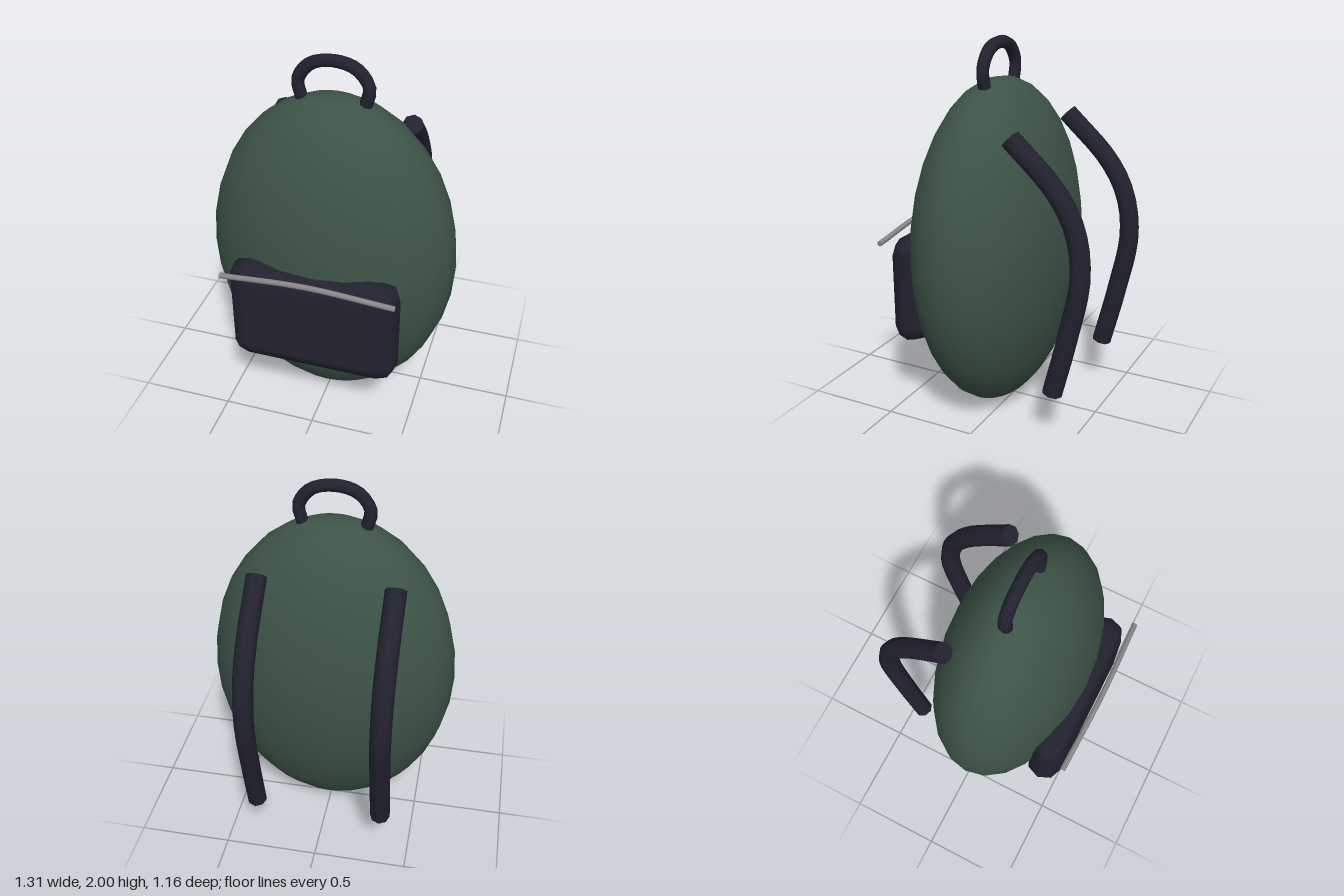
import * as THREE from 'three';
import { RoundedBoxGeometry } from 'three/addons/geometries/RoundedBoxGeometry.js';

const material = (name, color) => Object.assign(new THREE.MeshStandardMaterial({ color }), { name });

export function createModel() {
  const group = new THREE.Group();
  const canvas = material('green canvas', 0x3d5448);
  const webbing = material('dark webbing', 0x222230);
  const metal = material('zip metal', 0x888888);

  const add = (name, geometry, mat, parent = group) => {
    const mesh = new THREE.Mesh(geometry, mat);
    mesh.name = name;
    parent.add(mesh);
    return mesh;
  };

  // Round tube through points, closed with a flat disc at each end
  const addTube = (name, points, radius, segments, mat) => {
    const part = new THREE.Group();
    part.name = name;
    const curve = new THREE.CatmullRomCurve3(points.map((p) => new THREE.Vector3(...p)));
    add(name + 'Tube', new THREE.TubeGeometry(curve, segments, radius, 8), mat, part);
    const frame = curve.computeFrenetFrames(segments);
    for (const [end, side] of [[0, -1], [1, 1]]) {
      const cap = add(name + 'Cap', new THREE.CircleGeometry(radius, 8), mat, part);
      const i = end * segments;
      const z = frame.tangents[i].clone().multiplyScalar(side);
      const x = frame.normals[i];
      cap.quaternion.setFromRotationMatrix(new THREE.Matrix4().makeBasis(x, z.clone().cross(x), z));
      cap.position.copy(curve.getPointAt(end));
    }
    group.add(part);
  };

  // Egg-shaped main bag
  const body = add('body', new THREE.SphereGeometry(1, 24, 16), canvas);
  body.scale.set(0.657, 0.895, 0.392);
  body.position.set(0, 0.9, 0.08);

  // Front pocket with rounded edges
  const pocket = add('frontPocket', new RoundedBoxGeometry(0.9, 0.6, 0.2, 1, 0.1), webbing);
  pocket.position.set(0, 0.69, 0.425);

  // Curved zip in front of the pocket's top edge
  addTube('zip', [[-0.45, 0.955, 0.553], [0, 0.992, 0.566], [0.45, 0.955, 0.553]], 0.0145, 16, metal);

  // Carry loop on top
  addTube('carryHandle', [
    [-0.16, 1.757, 0.08], [-0.178, 1.85, 0.08], [-0.115, 1.938, 0.08], [0, 1.967, 0.08],
    [0.115, 1.938, 0.08], [0.178, 1.85, 0.08], [0.16, 1.757, 0.08],
  ], 0.033, 20, webbing);

  // Pair of shoulder straps behind the bag
  for (const [name, x] of [['leftStrap', 0.343], ['rightStrap', -0.343]]) {
    addTube(name, [
      [x, 1.565, -0.155], [x, 1.335, -0.395], [x, 1.16, -0.495],
      [x, 0.93, -0.53], [x, 0.6, -0.472], [x, 0.27, -0.393],
    ], 0.054, 20, webbing);
  }

  return group;
}
